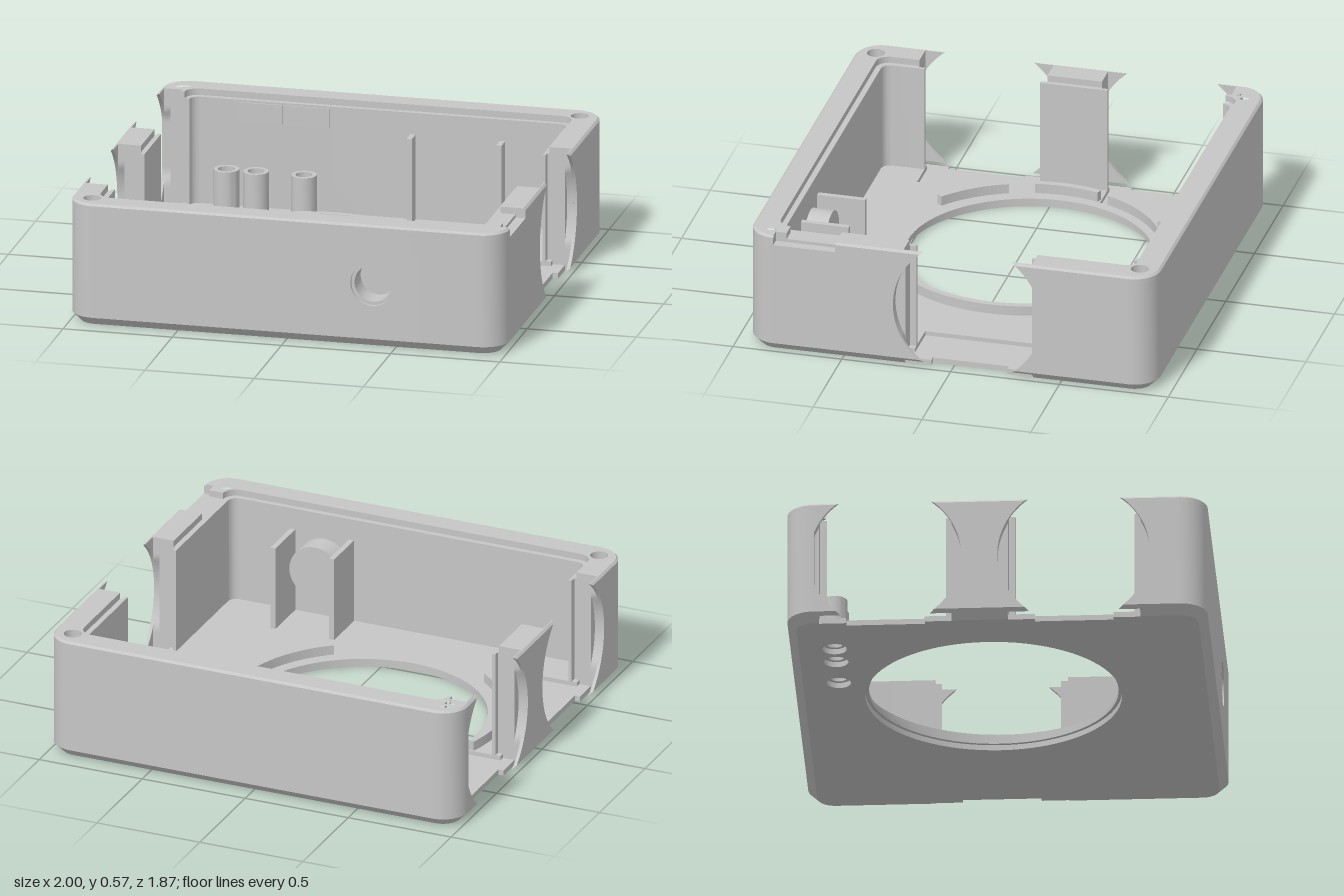
import * as THREE from 'three';
import { toCreasedNormals } from 'three/addons/utils/BufferGeometryUtils.js';

const W = 1, D = 0.935, R = 0.12;            // half width, half depth, corner radius
const TOP = 0.57, LEDGE = 0.54, FLOOR = 0.045;
const BITE = 0.34, SLOT = 0.295, WINDOW = 0.265; // side opening: round cut, panel slot, inner window
const RIGHT = [-0.075], LEFT = [-0.495, 0.345];  // opening centres along z on the +x and -x walls

export function createModel() {
  const model = new THREE.Group();
  const grey = new THREE.MeshStandardMaterial({ color: 0xc6c6c6 });
  grey.name = 'grey plastic';

  // Pull vertices inside the rounded body outline, chamfered at the bottom and rim
  function trim(geo) {
    const p = geo.attributes.position;
    for (let i = 0; i < p.count; i++) {
      const x = p.getX(i), y = p.getY(i), z = p.getZ(i);
      const inset = Math.max(0, 0.04 - y, y - 0.56);
      const cx = THREE.MathUtils.clamp(x, -(W - R), W - R);
      const cz = THREE.MathUtils.clamp(z, -(D - R), D - R);
      const len = Math.hypot(x - cx, z - cz), max = R - inset;
      if (len > max) p.setXYZ(i, cx + (x - cx) * max / len, y, cz + (z - cz) * max / len);
    }
    return geo;
  }
  function add(name, geo, crease = 0.5) {
    const mesh = new THREE.Mesh(toCreasedNormals(geo, crease), grey);
    mesh.name = name;
    model.add(mesh);
  }
  const circle = (x, y, r) => new THREE.Path().absarc(x, y, r, 0, Math.PI * 2, true);
  const extrude = (shape, depth) =>
    new THREE.ExtrudeGeometry(shape, { depth, bevelEnabled: false, curveSegments: 40 });

  // Plan outline [x, z] raised from y0 to y1; holes are [x, z, radius]
  function plan(name, pts, y0, y1, holes = []) {
    const shape = new THREE.Shape(pts.map(([x, z]) => new THREE.Vector2(x, -z)));
    holes.forEach(([x, z, r]) => shape.holes.push(circle(x, -z, r)));
    add(name, trim(extrude(shape, y1 - y0).rotateX(-Math.PI / 2).translate(0, y0, 0)));
  }
  function box(name, x0, x1, y0, y1, z0, z1) {
    const g = new THREE.BoxGeometry(x1 - x0, y1 - y0, z1 - z0);
    add(name, g.translate((x0 + x1) / 2, (y0 + y1) / 2, (z0 + z1) / 2));
  }

  // Floor in two layers, recessed at every side opening; holes widen underneath
  const pegs = [[-0.685, -0.735], [-0.55, -0.735], [-0.33, -0.735]];
  function floor(name, hx, half, cutLeft, cutRight, y0, y1, bigR, pegR) {
    const hz = 0.84, pts = [[-hx, -hz]];
    const notch = (c, side, cut, dir) => pts.push(
      [side * hx, c - dir * half], [side * cut, c - dir * half],
      [side * cut, c + dir * half], [side * hx, c + dir * half]);
    LEFT.forEach(c => notch(c, -1, cutLeft, 1));
    pts.push([-hx, hz], [hx, hz]);
    RIGHT.forEach(c => notch(c, 1, cutRight, -1));
    pts.push([hx, -hz]);
    plan(name, pts, y0, y1, [[-0.155, -0.055, bigR], ...pegs.map(([x, z]) => [x, z, pegR])]);
  }
  floor('floorBase', 0.955, 0.175, 0.93, 0.93, 0, 0.025, 0.57, 0.054);
  floor('floorUpper', 0.9, WINDOW, 0.73, 0.72, 0.025, FLOOR, 0.555, 0.038);

  // Thick corner walls: base chamfer, body, and thinner rim; each ends in a thin inner flange
  function cornerWall(name, sx, sz, xEnd, zOuter, zInner, inX, inZ, r, y0, y1, screw) {
    const zo = zOuter * sz, zi = Math.min(zInner * sz, inZ - r);
    const pts = [[0.955, zo], [0.955, D - R]];
    const arc = (cx, cz, rad, from, to) => {
      for (let i = 0; i <= 10; i++) {
        const a = from + (to - from) * i / 10;
        pts.push([cx + rad * Math.cos(a), cz + rad * Math.sin(a)]);
      }
    };
    arc(W - R, D - R, R, 0, Math.PI / 2);
    pts.push([xEnd * sx, D], [xEnd * sx, inZ]);
    arc(inX - r, inZ - r, r, Math.PI / 2, 0);
    pts.push([inX, zi]);
    if (zi !== zo) pts.push([inX + 0.015, zi], [inX + 0.015, zo]);
    plan(name, pts.map(([x, z]) => [x * sx, z * sz]), y0, y1,
      screw ? [[0.905 * sx, 0.845 * sz, 0.04]] : []);
  }
  // side x, side z, x end, x end of body, opening centre, rim end override
  for (const [sx, sz, xEnd, xBody, c, rimEnd] of [
    [1, 1, 0.52, 0.52, RIGHT[0], 0.765], [-1, 1, 0.52, 0.28, LEFT[1]],
    [1, -1, 0, 0, RIGHT[0]], [-1, -1, 0, 0, LEFT[0]]]) {
    const zSlot = c + sz * SLOT, zWindow = c + sz * WINDOW, zRim = rimEnd ?? zSlot;
    cornerWall('wallBase', sx, sz, xEnd, zSlot, zWindow, 0.86, 0.8, 0.04, 0, 0.04, false);
    cornerWall('wall', sx, sz, xBody, zSlot, zWindow, 0.86, 0.8, 0.04, 0.04, LEDGE, true);
    cornerWall('rim', sx, sz, xEnd, zRim, zRim, 0.885, 0.825, 0.06, LEDGE, 0.56, true);
    cornerWall('rimEdge', sx, sz, xEnd, zRim, zRim, 0.885, 0.825, 0.06, 0.56, TOP, true);
    add('screwHoleFloor', new THREE.CylinderGeometry(0.04, 0.04, 0.2, 40)
      .translate(0.905 * sx, 0.15, 0.845 * sz));
  }
  box('rightRim', 0.885, 0.955, LEDGE, TOP, 0.22, 0.53);
  box('pillar', -0.955, -0.875, 0.025, LEDGE, -0.2, 0.05);
  box('pillarFlange', -0.875, -0.858, 0.025, LEDGE, -0.23, 0.08);
  box('pillarRim', -0.955, -0.88, LEDGE, TOP, -0.2, 0.05);

  // Outer side skins with round bites; the middle layer also leaves the panel slots
  function skin(side, z0, z1, c0, c1, yTop = TOP) {
    for (const [half, xIn, xOut, yStart, yChamfer] of [
      [0, 0.985, 1, 0.025, 0.04], [SLOT, 0.955, 0.985, 0, 0.025]]) {
      const reach = y => Math.max(half, Math.sqrt(BITE ** 2 - (y - 0.3) ** 2));
      const levels = [yStart, yChamfer, Math.min(0.56, yTop), yTop];
      for (let b = 0; b < 3; b++) {
        const y0 = levels[b], y1 = levels[b + 1], n = b === 1 ? 24 : 1;
        if (y1 - y0 < 1e-4) continue;
        const low = [], high = [];
        for (let i = 0; i <= n; i++) {
          const y = y0 + (y1 - y0) * i / n;
          low.push([c0 === null ? z0 : c0 + reach(y), y]);
          high.push([c1 === null ? z1 : Math.max(z0 + 0.004, c1 - reach(y)), y]);
        }
        const shape = new THREE.Shape([...low, ...high.reverse()].map(([z, y]) => new THREE.Vector2(-z, y)));
        const g = extrude(shape, xOut - xIn).rotateY(Math.PI / 2);
        add('sideSkin', trim(g.translate(side > 0 ? xIn : -xOut, 0, 0)));
      }
    }
  }
  const E = D - R;
  skin(1, -E, 0, null, RIGHT[0]);
  skin(1, 0, 0.53, RIGHT[0], null);
  skin(1, 0.53, E, null, null, 0.525);       // rim notch
  skin(-1, -E, 0, null, LEFT[0]);
  skin(-1, -0.4, 0, LEFT[0], LEFT[1]);
  skin(-1, 0, E, LEFT[1], null);

  // Front panel with a stepped blind hole, closed by a round boss inside
  for (const [r, z0, z1] of [[0.085, 0.8, 0.92], [0.1, 0.92, D]]) {
    const shape = new THREE.Shape([[0.28, 0.04], [0.52, 0.04], [0.52, LEDGE], [0.28, LEDGE]]
      .map(([x, y]) => new THREE.Vector2(x, y)));
    shape.holes.push(circle(0.4, 0.295, r));
    add('frontPanel', extrude(shape, z1 - z0).translate(0, 0, z0));
  }
  add('boss', new THREE.CylinderGeometry(0.125, 0.125, 0.11, 40)
    .rotateX(Math.PI / 2).translate(0.41, 0.295, 0.755));

  // Inner ribs
  for (const [x, z0, z1] of [[0.265, 0.58, 0.81], [0.55, 0.58, 0.81], [0.14, -0.81, -0.73], [0.55, -0.81, -0.73]])
    box('rib', x, x + 0.025, FLOOR, 0.44, z0, z1);

  // Hollow standoffs
  for (const [x, z] of pegs) {
    const profile = [[0.038, 0], [0.057, 0], [0.057, 0.21], [0.038, 0.21], [0.038, 0]];
    add('standoff', new THREE.LatheGeometry(profile.map(([r, y]) => new THREE.Vector2(r, y)), 28)
      .translate(x, 0.025, z));
  }

  // Raised ring around the floor opening, broken at the front and beside the pillar
  const cx = -0.16, cz = -0.04, r0 = 0.605, r1 = 0.635;
  function ring(a0, a1) {
    const shape = new THREE.Shape();
    shape.absarc(cx, -cz, r1, a0, a1, false);
    shape.absarc(cx, -cz, r0, a1, a0, true);
    add('openingRing', extrude(shape, 0.045).rotateX(-Math.PI / 2).translate(0, FLOOR, 0));
  }
  const deg = Math.PI / 180;
  ring(-53 * deg, 158 * deg);
  ring(163 * deg, 191 * deg);
  ring(202 * deg, 233 * deg);

  // Thin plates on the inside of the back wall
  for (const x of [-0.65, -0.435]) box('wallPlate', x, x + 0.205, 0.44, 0.53, -0.802, -0.794);

  return model;
}
